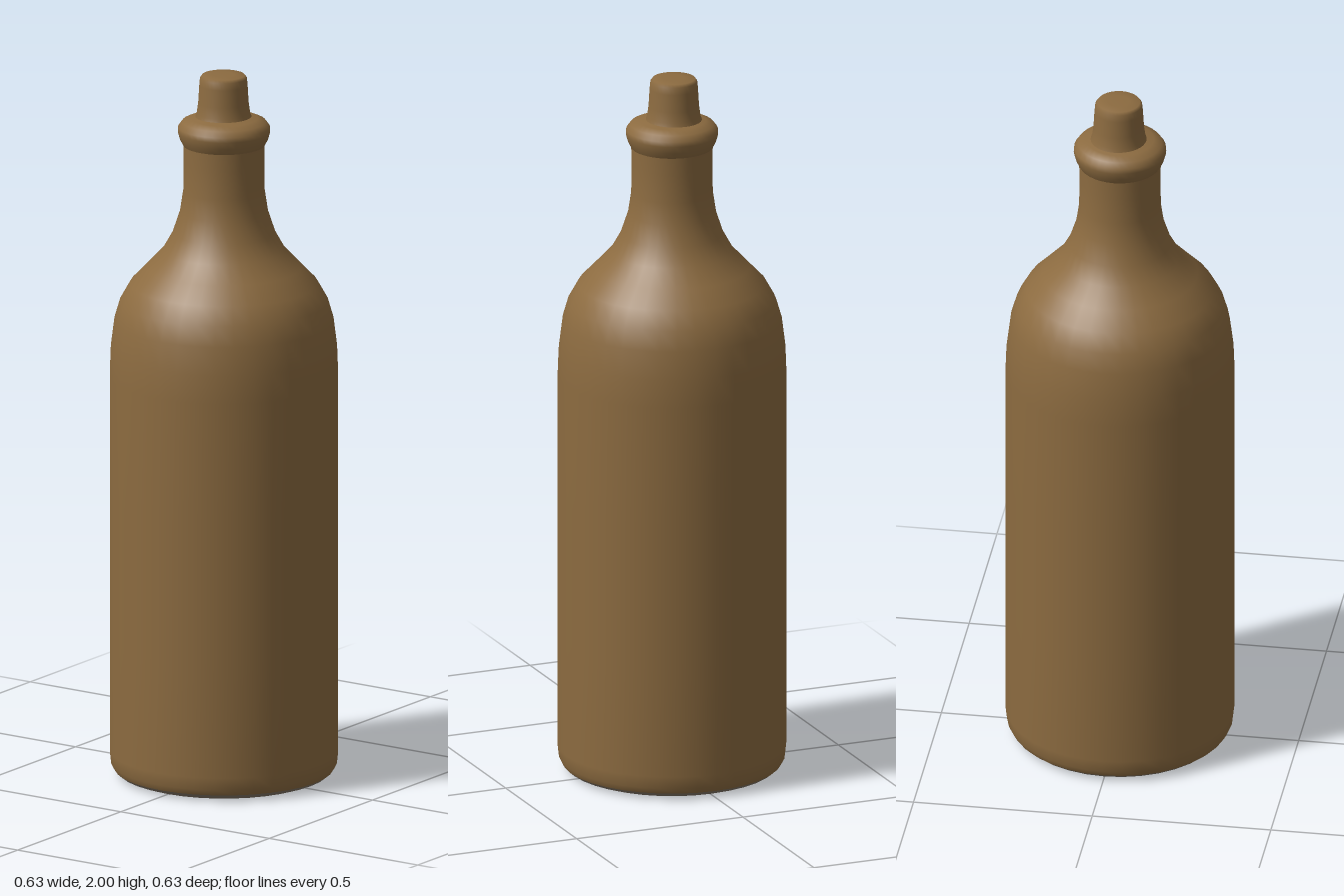
import * as THREE from 'three';

const SEGMENTS = 36;

// Revolve a profile of [radius, height] pairs listed from bottom to top
function turned(name, profile, material) {
  const points = profile.map(([r, y]) => new THREE.Vector2(r, y));
  const mesh = new THREE.Mesh(new THREE.LatheGeometry(points, SEGMENTS), material);
  mesh.name = name;
  return mesh;
}

export function createModel() {
  const brown = new THREE.MeshStandardMaterial({ color: 0x8c6b40 });
  brown.name = 'brown stoneware';
  const grey = new THREE.MeshStandardMaterial({ color: 0x857868 });
  grey.name = 'unglazed base';

  const bottle = new THREE.Group();
  bottle.name = 'bottle';

  // Unglazed underside
  bottle.add(turned('base', [[0, 0.004], [0.27, 0], [0.292, 0.008], [0.304, 0.018]], grey));

  // Straight body, rounded shoulder and narrow neck
  bottle.add(turned('body', [
    [0.304, 0.018], [0.313, 0.035], [0.317, 0.07], [0.317, 0.4], [0.317, 0.8],
    [0.317, 1.14], [0.314, 1.22], [0.304, 1.3], [0.288, 1.355], [0.26, 1.405],
    [0.215, 1.452], [0.17, 1.5], [0.142, 1.55], [0.122, 1.61],
    [0.113, 1.67], [0.112, 1.75], [0.113, 1.8],
  ], brown));

  // Rounded lip
  bottle.add(turned('lip', [
    [0.113, 1.8], [0.122, 1.817], [0.128, 1.838], [0.127, 1.852],
    [0.116, 1.867], [0.094, 1.877], [0.06, 1.883],
  ], brown));

  // Tapered stopper, set slightly off centre
  const stopper = turned('stopper', [
    [0.08, 1.873], [0.074, 1.89], [0.07, 1.92], [0.067, 1.97], [0.065, 1.99],
    [0.059, 1.998], [0.03, 2], [0, 2],
  ], brown);
  stopper.position.set(-0.004, 0, -0.003);
  bottle.add(stopper);

  return bottle;
}
